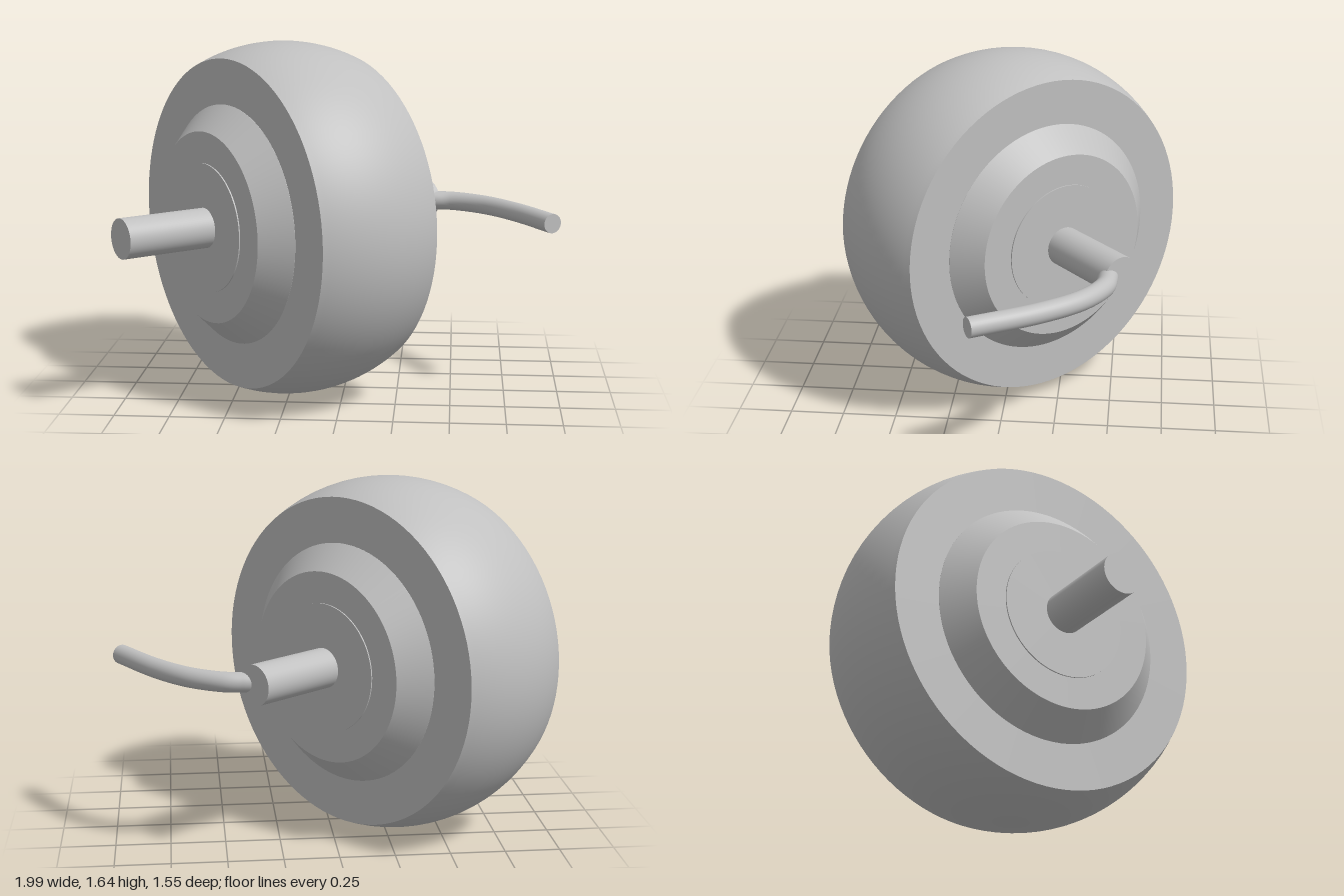
import * as THREE from 'three';
import { toCreasedNormals } from 'three/addons/utils/BufferGeometryUtils.js';

const CENTER = new THREE.Vector3(-0.28, 0.82, 0);
const AXIS = new THREE.Vector3(0.77, 0, -0.638).normalize();

// Solid of revolution about y with crisp rims; profile runs from bottom to top
function turned(profile) {
  const points = profile.map(([r, y]) => new THREE.Vector2(r, y));
  return toCreasedNormals(new THREE.LatheGeometry(points, 96), 0.4);
}

export function createModel() {
  const model = new THREE.Group();
  const grey = new THREE.MeshStandardMaterial({ color: 0xc0c0c0 });
  grey.name = 'grey';

  function add(parent, name, geometry) {
    const mesh = new THREE.Mesh(geometry, grey);
    mesh.name = name;
    parent.add(mesh);
    return mesh;
  }

  // Everything that turns about the slanted axle
  const wheel = new THREE.Group();
  wheel.name = 'wheelAssembly';
  wheel.position.copy(CENTER);
  wheel.quaternion.setFromUnitVectors(new THREE.Vector3(0, 1, 0), AXIS);
  model.add(wheel);

  // Drum with a crowned tread and flat sides
  const half = 0.305, crown = 0.818, arc = 0.748;
  const tread = [];
  for (let i = 0; i <= 24; i++) {
    const y = -half + (2 * half * i) / 24;
    tread.push([crown - arc + Math.sqrt(arc * arc - y * y), y]);
  }
  add(wheel, 'drum', turned([[0, -half], ...tread, [0, half]]));

  // Tapered hubs on both sides, each with a barely raised bearing disc
  for (const [side, turn] of [['left', 0], ['right', Math.PI]]) {
    add(wheel, side + 'Hub', turned([[0.547, 0.3], [0.547, 0.306], [0.435, 0.424], [0, 0.424]]))
      .rotation.x = turn;
    add(wheel, side + 'BearingDisc', turned([[0.293, 0.41], [0.293, 0.43], [0, 0.43]]))
      .rotation.x = turn;
  }

  // Axle through the whole wheel
  add(wheel, 'axle', new THREE.CylinderGeometry(0.091, 0.091, 1.705, 64));

  // Curved crank handle leaving the axle end
  const path = new THREE.CatmullRomCurve3([
    [0.35, -0.487], [0.42, -0.486], [0.5, -0.474], [0.647, -0.383], [0.794, -0.209], [0.957, 0.068],
  ].map(([x, z]) => new THREE.Vector3(x, CENTER.y, z)));
  const radius = 0.045;
  add(model, 'crankHandle', new THREE.TubeGeometry(path, 64, radius, 32));

  // Flat caps on the handle ends
  for (const [name, t, sign] of [['crankInnerCap', 0, -1], ['crankOuterCap', 1, 1]]) {
    const cap = add(model, name, new THREE.CircleGeometry(radius, 32));
    cap.position.copy(path.getPoint(t));
    cap.quaternion.setFromUnitVectors(
      new THREE.Vector3(0, 0, 1), path.getTangent(t).multiplyScalar(sign));
  }

  return model;
}
